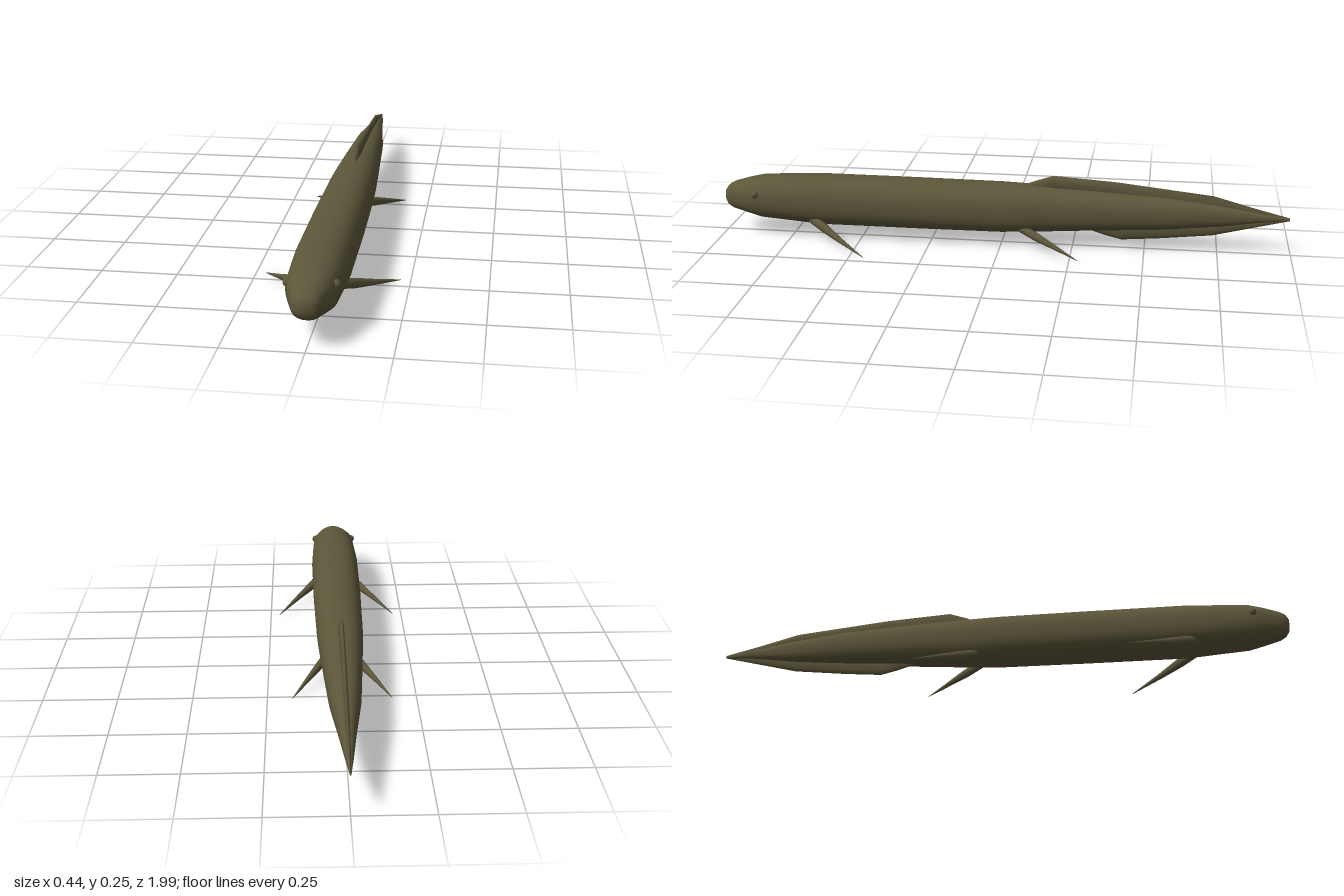
import * as THREE from 'three';

// Skin a list of rings, given head to tail, into a smooth closed surface
function loft(rings) {
  const n = rings[0].length, pos = [], idx = [];
  rings.forEach(r => r.forEach(p => pos.push(p.x, p.y, p.z)));
  for (let i = 0; i < rings.length - 1; i++)
    for (let j = 0; j < n; j++) {
      const a = i * n + j, b = i * n + (j + 1) % n;
      idx.push(a, a + n, b, b, a + n, b + n);
    }
  // end caps
  [0, rings.length - 1].forEach((i, end) => {
    const c = new THREE.Vector3();
    rings[i].forEach(p => c.addScaledVector(p, 1 / n));
    const k = pos.length / 3;
    pos.push(c.x, c.y, c.z);
    for (let j = 0; j < n; j++) {
      const a = i * n + j, b = i * n + (j + 1) % n;
      if (end) idx.push(k, b, a); else idx.push(k, a, b);
    }
  });
  const g = new THREE.BufferGeometry();
  g.setAttribute('position', new THREE.Float32BufferAttribute(pos, 3));
  g.setIndex(idx);
  g.computeVertexNormals();
  return g;
}

// Slightly squared oval cross-section
function bodyRing([z, w, top, bottom], n = 32) {
  const sq = v => Math.sign(v) * Math.abs(v) ** 0.85;
  return Array.from({ length: n }, (_, j) => {
    const a = j / n * Math.PI * 2;
    return new THREE.Vector3(w * sq(Math.cos(a)),
      (top + bottom) / 2 + (top - bottom) / 2 * sq(Math.sin(a)), z);
  });
}

// Narrow ridge cross-section; dir is 1 for a fin on top, -1 for one below
function ridgeRing([z, base, tip, t], dir) {
  const neck = base + (tip - base) * 0.75;
  const pts = [[t, base], [t * 0.6, neck], [0, tip], [-t * 0.6, neck], [-t, base]]
    .map(([x, y]) => new THREE.Vector3(x, y, z));
  return dir > 0 ? pts : pts.reverse();
}

// Tapering oval limb along a path of [x, y, z, radius]
function limb(path, side, n = 10) {
  const pts = path.map(p => new THREE.Vector3(p[0] * side, p[1], p[2]));
  const d = pts.at(-1).clone().sub(pts[0]).normalize();
  const u = new THREE.Vector3(0, 1, 0).addScaledVector(d, -d.y).normalize();
  const v = u.clone().cross(d);
  return loft(pts.map((p, i) => Array.from({ length: n }, (_, j) => {
    const a = j / n * Math.PI * 2, r = path[i][3];
    return p.clone().addScaledVector(u, r * Math.cos(a)).addScaledVector(v, r * 0.85 * Math.sin(a));
  })));
}

export function createModel() {
  const group = new THREE.Group();
  const skin = new THREE.MeshStandardMaterial({ color: 0x5c563a });
  skin.name = 'olive skin';
  const add = (name, geometry) => {
    const mesh = new THREE.Mesh(geometry, skin);
    mesh.name = name;
    group.add(mesh);
    return mesh;
  };

  // Body from snout to tail: z, half width, top, bottom
  add('body', loft([
    [0.995, 0.022, 0.158, 0.115], [0.985, 0.038, 0.172, 0.1], [0.965, 0.048, 0.184, 0.088],
    [0.91, 0.066, 0.2, 0.074], [0.86, 0.08, 0.211, 0.062], [0.75, 0.085, 0.217, 0.054],
    [0.65, 0.089, 0.222, 0.046], [0.3, 0.087, 0.222, 0.046], [0, 0.081, 0.221, 0.047],
    [-0.1, 0.077, 0.218, 0.052], [-0.3, 0.066, 0.21, 0.065], [-0.55, 0.051, 0.197, 0.079],
    [-0.75, 0.028, 0.175, 0.098], [-0.9, 0.013, 0.15, 0.12], [-0.985, 0.003, 0.137, 0.128],
  ].map(r => bodyRing(r))));

  // Long back fin: z, base, tip, half thickness
  add('dorsalFin', loft([
    [-0.07, 0.19, 0.215, 0.008], [-0.12, 0.19, 0.235, 0.011], [-0.18, 0.19, 0.255, 0.012],
    [-0.4, 0.18, 0.241, 0.012], [-0.73, 0.155, 0.206, 0.01], [-0.87, 0.14, 0.168, 0.007],
    [-0.99, 0.13, 0.138, 0.002],
  ].map(r => ridgeRing(r, 1))));

  // Fin under the tail
  add('analFin', loft([
    [-0.29, 0.09, 0.068, 0.008], [-0.37, 0.09, 0.044, 0.011], [-0.42, 0.09, 0.032, 0.012],
    [-0.55, 0.1, 0.043, 0.012], [-0.73, 0.115, 0.063, 0.01], [-0.87, 0.125, 0.098, 0.007],
    [-0.99, 0.135, 0.128, 0.002],
  ].map(r => ridgeRing(r, -1))));

  // Paired limbs and eyes
  for (const [side, label] of [[1, 'left'], [-1, 'right']]) {
    add(label + 'PectoralFin', limb([
      [0.05, 0.08, 0.68, 0.017], [0.09, 0.058, 0.62, 0.017],
      [0.145, 0.035, 0.55, 0.01], [0.218, 0.004, 0.45, 0.001]], side));
    add(label + 'PelvicFin', limb([
      [0.045, 0.075, -0.07, 0.015], [0.078, 0.056, -0.13, 0.015],
      [0.117, 0.037, -0.195, 0.009], [0.167, 0.011, -0.28, 0.001]], side));
    const eye = add(label + 'Eye', new THREE.SphereGeometry(0.015, 16, 12));
    eye.position.set(0.07 * side, 0.162, 0.87);
  }
  return group;
}
